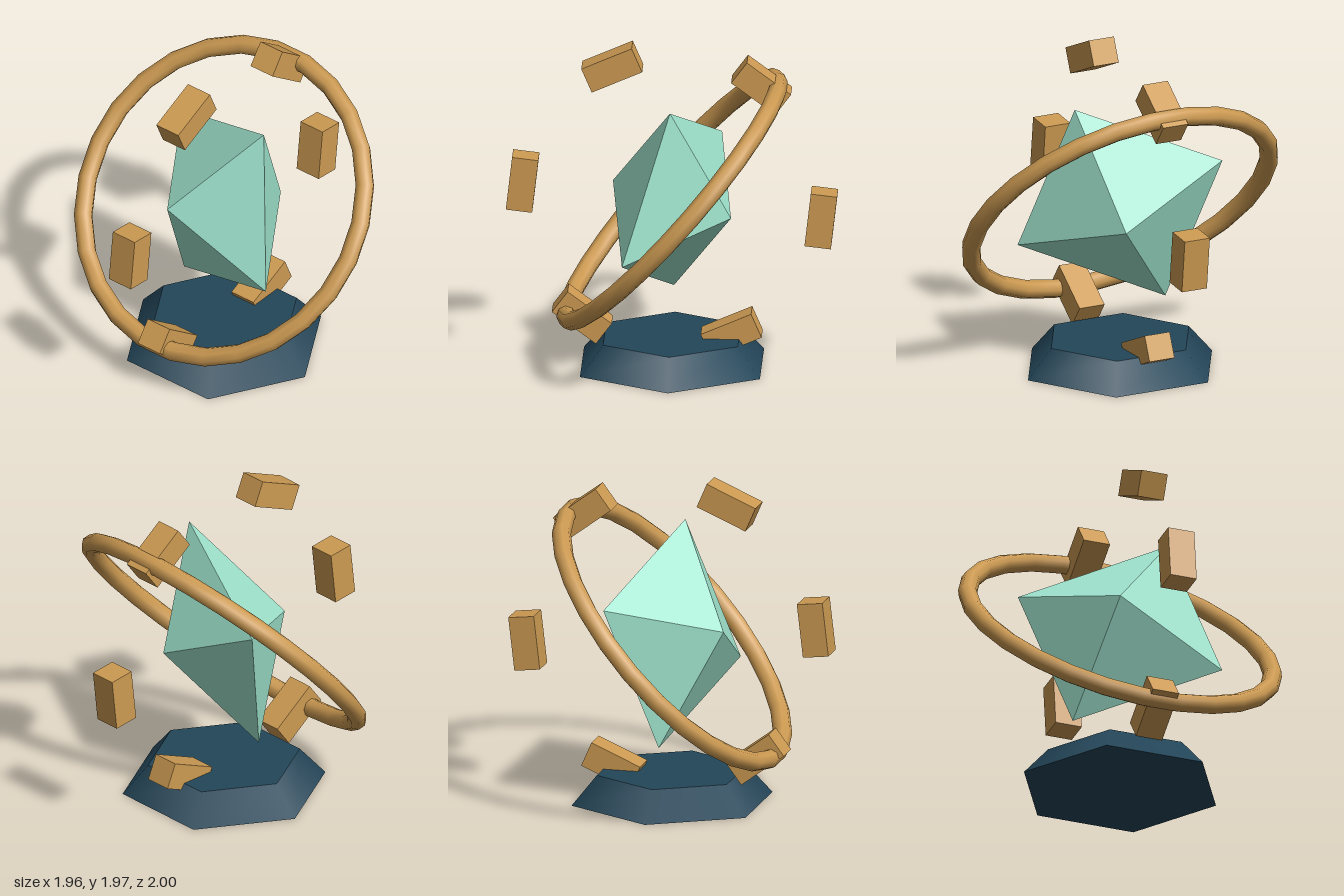
import * as THREE from 'three';

const CENTRE_Y = 1.012;

function mesh(name, geometry, color, flatShading = false) {
  const m = new THREE.Mesh(geometry, new THREE.MeshStandardMaterial({ color, flatShading }));
  m.name = name;
  return m;
}

export function createModel() {
  const model = new THREE.Group();
  model.name = 'floatingCrystal';
  const gold = 0xcc9a52, aqua = 0x9fe3cd, navy = 0x234659;

  // Hexagonal pedestal, points facing front and back
  const base = mesh('pedestal', new THREE.CylinderGeometry(0.46, 0.615, 0.175, 6), navy);
  base.position.y = 0.0875;
  model.add(base);

  // Tilted, flattened octahedral crystal: three perpendicular half-axes
  const crystalGeometry = new THREE.OctahedronGeometry(1, 0);
  crystalGeometry.applyMatrix4(new THREE.Matrix4().makeBasis(
    new THREE.Vector3(0.355, -0.07, 0.145),
    new THREE.Vector3(0, 0.623, 0.303),
    new THREE.Vector3(-0.275, -0.26, 0.54)
  ));
  const crystal = mesh('crystal', crystalGeometry, aqua, true);
  crystal.position.y = CENTRE_Y;
  model.add(crystal);

  // Slanted ring around the crystal
  const ringGeometry = new THREE.TorusGeometry(0.943, 0.057, 8, 26);
  ringGeometry.rotateZ(Math.PI / 2).rotateX(Math.PI / 2);
  const ring = mesh('ring', ringGeometry, gold);
  ring.rotation.z = 0.842;
  ring.position.y = CENTRE_Y;
  model.add(ring);

  // Six blocks floating in an upright circle, each set along the tangent
  const blocks = new THREE.Group();
  blocks.name = 'floatingBlocks';
  blocks.position.y = CENTRE_Y;
  for (let i = 0; i < 6; i++) {
    const angle = THREE.MathUtils.degToRad(-6.6 + i * 60);
    const block = mesh('block' + (i + 1), new THREE.BoxGeometry(0.157, 0.325, 0.167), gold);
    block.position.set(0.89 * Math.cos(angle), 0.89 * Math.sin(angle), 0);
    block.rotation.z = angle;
    blocks.add(block);
  }
  model.add(blocks);

  return model;
}
